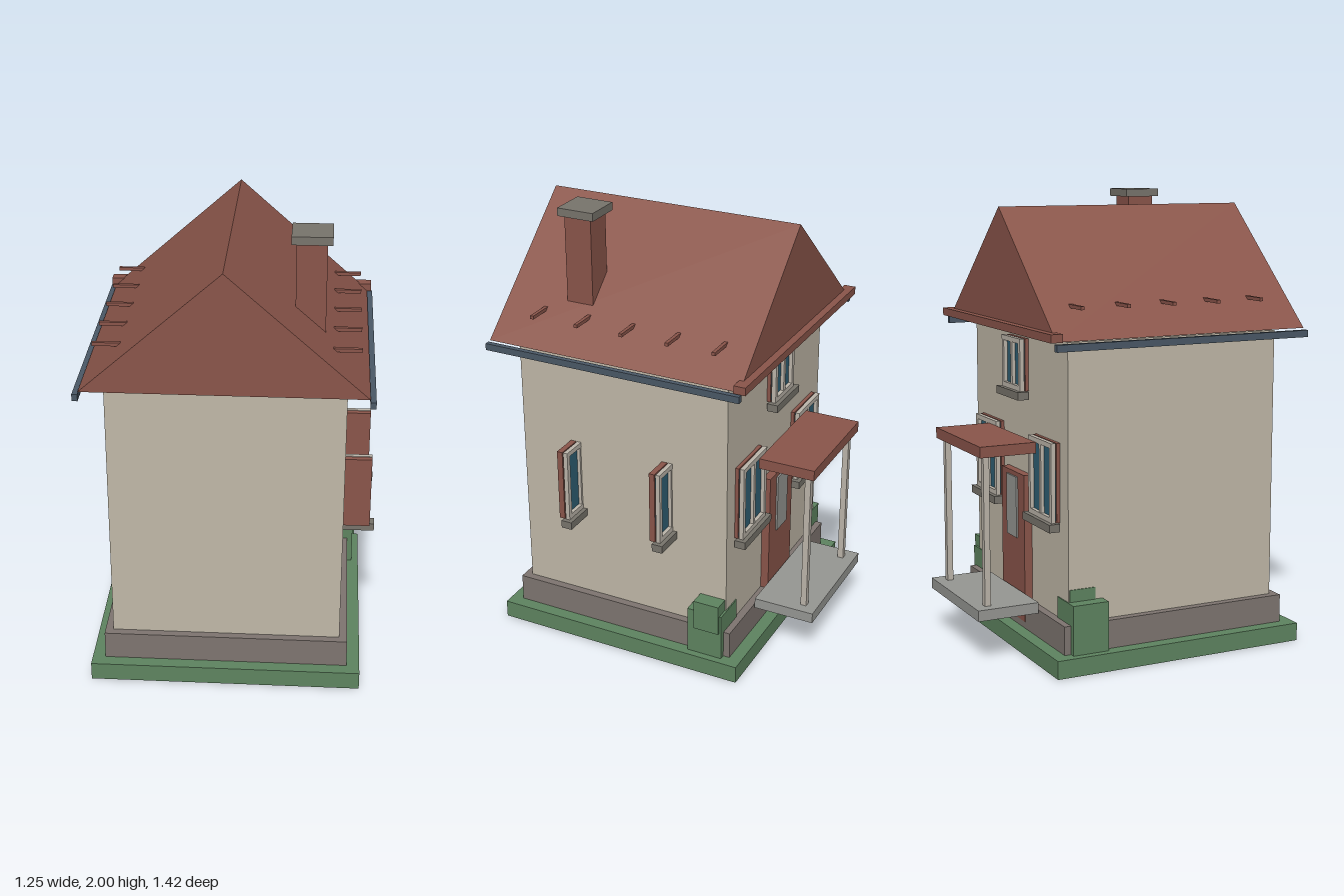
import * as THREE from 'three';

const mat = (name, color) => {
  const m = new THREE.MeshStandardMaterial({ color });
  m.name = name;
  return m;
};

export function createModel() {
  const plaster = mat('plaster', 0xc0b8a8);
  const trim = mat('trim', 0xbcb5aa);
  const brick = mat('brickRed', 0x8a554a);
  const plinthGrey = mat('plinthGrey', 0x7e7570);
  const stone = mat('stone', 0x78746c);
  const concrete = mat('concrete', 0x969793);
  const green = mat('green', 0x5e8460);
  const slate = mat('slate', 0x4a5866);
  const glass = mat('glass', 0x2f6074);

  const house = new THREE.Group();
  house.name = 'house';
  const CX = -0.015, CZ = 0.11; // centre of the walls

  // Box given by its lower and upper limits on each axis
  const box = (name, m, x0, x1, y0, y1, z0, z1, parent = house) => {
    const mesh = new THREE.Mesh(new THREE.BoxGeometry(x1 - x0, y1 - y0, z1 - z0), m);
    mesh.position.set((x0 + x1) / 2, (y0 + y1) / 2, (z0 + z1) / 2);
    mesh.name = name;
    parent.add(mesh);
    return mesh;
  };
  // Square block around the house centre
  const block = (name, m, half, y0, y1) =>
    box(name, m, CX - half, CX + half, y0, y1, CZ - half, CZ + half);

  block('lawn', green, 0.592, 0, 0.08);
  block('plinth', plinthGrey, 0.535, 0.08, 0.205);
  block('walls', plaster, 0.5, 0.205, 1.4);

  // Solid gable roof
  const gable = new THREE.Shape([
    new THREE.Vector2(-0.59, 1.415),
    new THREE.Vector2(0.59, 1.415),
    new THREE.Vector2(0, 1.938),
  ]);
  const roof = new THREE.Mesh(
    new THREE.ExtrudeGeometry(gable, { depth: 1.184, bevelEnabled: false }), brick);
  roof.position.set(CX, 0, CZ - 0.592);
  roof.name = 'roof';
  house.add(roof);
  box('eavesBeam', brick, CX - 0.608, CX + 0.608, 1.415, 1.45, -0.515, -0.462);

  // Gutters and snow guards on both slopes
  for (const s of [-1, 1]) {
    const gx = CX + s * 0.602;
    box('gutter', slate, gx - 0.012, gx + 0.012, 1.377, 1.407, CZ - 0.6, CZ + 0.6);
    for (let i = 0; i < 5; i++) {
      const x = CX + s * 0.495, z = -0.348 + i * 0.2135;
      box('snowGuard', brick, x - 0.06, x + 0.06, 1.536, 1.551, z - 0.008, z + 0.008);
    }
  }

  // Chimney
  box('chimney', brick, 0.262, 0.388, 1.5, 1.965, 0.293, 0.418);
  box('chimneyCap', stone, 0.241, 0.409, 1.965, 2, 0.27, 0.439);

  // Window facing -z: backing, glass, frame with mullion, sill
  const addWindow = (x, y, z, w, h) => {
    const g = new THREE.Group();
    g.name = 'window';
    g.position.set(x, y, z);
    house.add(g);
    const a = w / 2, t = 0.022;
    box('windowBacking', brick, -a, a, 0, h, -0.026, 0, g);
    box('windowGlass', glass, -a + 0.008, a - 0.008, 0.008, h - 0.008, -0.034, -0.026, g);
    for (const s of [-1, 1]) {
      const c = s * (a - t / 2);
      box('frameStile', trim, c - t / 2, c + t / 2, 0, h, -0.051, -0.031, g);
    }
    box('frameTop', trim, -a + t, a - t, h - t, h, -0.051, -0.031, g);
    box('frameBottom', trim, -a + t, a - t, 0, t, -0.051, -0.031, g);
    box('mullion', trim, -0.01, 0.01, t, h - t, -0.049, -0.031, g);
    box('windowSill', stone, -a - 0.02, a + 0.02, -0.035, 0, -0.07, -0.02, g);
  };
  addWindow(CX - 0.3, 0.625, -0.38, 0.24, 0.343);
  addWindow(CX + 0.3, 0.625, -0.38, 0.24, 0.343);
  addWindow(CX, 1.143, -0.38, 0.2, 0.23);
  // Side windows stand out from the wall like fins
  addWindow(0.485, 0.635, 0.37, 0.24, 0.33);
  addWindow(0.485, 0.635, -0.08, 0.24, 0.33);

  // Door with a pale panel
  box('door', brick, CX - 0.125, CX + 0.125, 0.11, 0.775, -0.427, -0.38);
  box('doorPanel', concrete, CX - 0.055, CX + 0.055, 0.48, 0.755, -0.435, -0.427);

  // Porch
  box('porchSlab', concrete, CX - 0.286, CX + 0.286, 0.197, 0.245, -0.713, -0.433);
  box('porchCanopy', brick, CX - 0.263, CX + 0.263, 0.9, 0.948, -0.687, -0.43);
  for (const s of [-1, 1]) {
    const px = CX + s * 0.225;
    box('porchPost', trim, px - 0.0135, px + 0.0135, 0.245, 0.9, -0.663, -0.636);
  }

  // Stepped bushes at the door-side corners
  for (const s of [-1, 1]) {
    const lower = CX + s * 0.48;
    const upper = s > 0 ? 0.495 : -0.459;
    box('bushLower', green, lower - 0.08, lower + 0.08, 0.08, 0.297, -0.395, -0.23);
    box('bushUpper', green, upper - 0.06, upper + 0.06, 0.21, 0.35, -0.385, -0.265);
  }

  return house;
}
